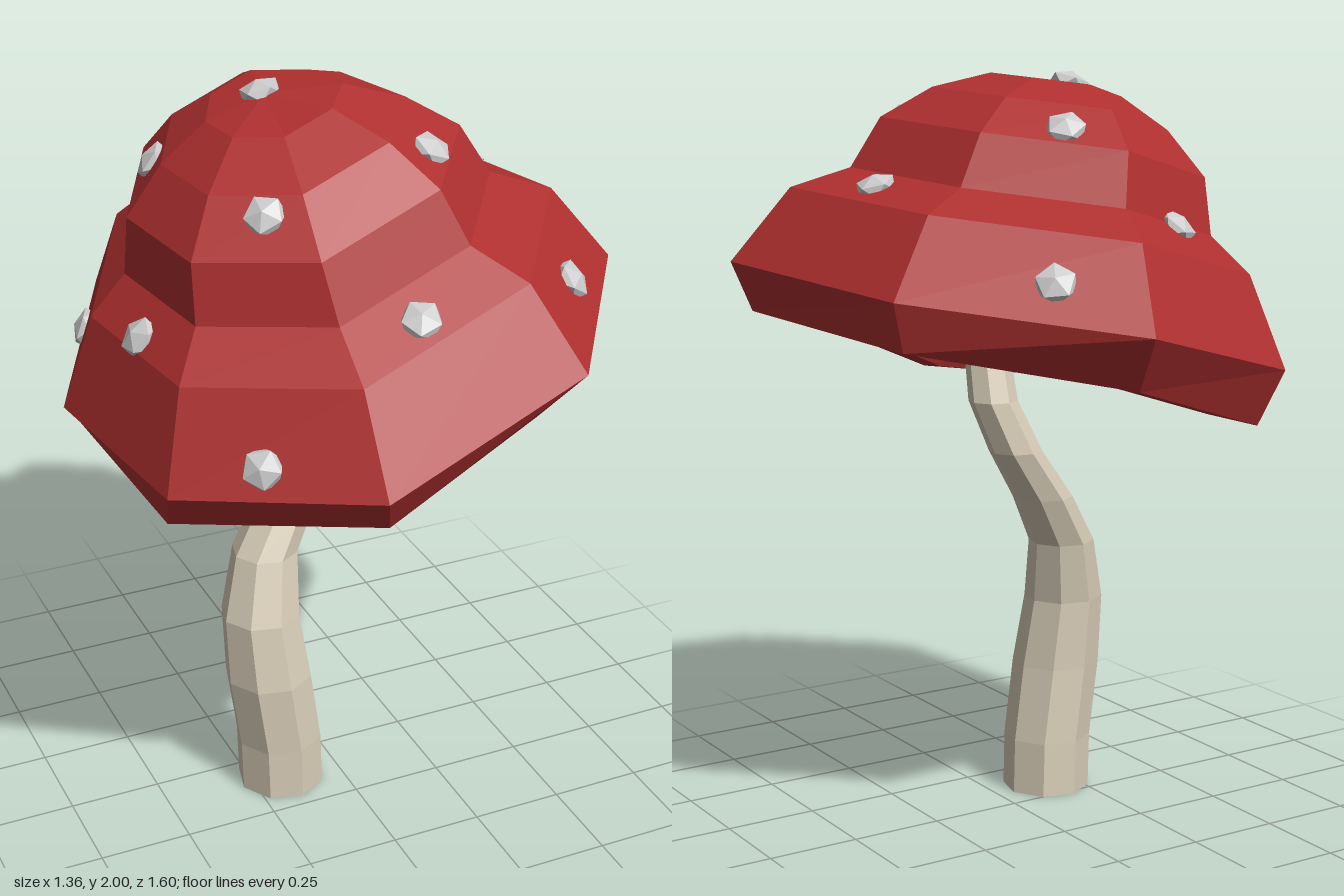
import * as THREE from 'three';

const SIDES = 8;

// Flat-shaded skin through rings of equal size, with optional end points
function loft(rings, { start, end } = {}) {
  const pos = [];
  const tri = (...pts) => pts.forEach((p) => pos.push(p.x, p.y, p.z));
  for (let i = 0; i < SIDES; i++) {
    const j = (i + 1) % SIDES;
    for (let k = 0; k + 1 < rings.length; k++) {
      const a = rings[k], b = rings[k + 1];
      tri(a[i], a[j], b[j]);
      tri(a[i], b[j], b[i]);
    }
    if (start) tri(rings[0][j], rings[0][i], start);
    const last = rings[rings.length - 1];
    if (end) tri(last[i], last[j], end);
  }
  const g = new THREE.BufferGeometry();
  g.setAttribute('position', new THREE.Float32BufferAttribute(pos, 3));
  g.computeVertexNormals();
  return g;
}

const vec = (p) => new THREE.Vector3(...p);
const material = (color) => new THREE.MeshStandardMaterial({ color, flatShading: true });

function named(name, geometry, mat) {
  const mesh = new THREE.Mesh(geometry, mat);
  mesh.name = name;
  return mesh;
}

// Scale a ring about one centre and move it to another
function scaled(ring, from, to, s) {
  return ring.map((p) => p.clone().sub(from).multiplyScalar(s).add(to));
}

export function createModel() {
  const model = new THREE.Group();
  model.name = 'mushroom';
  const red = material(0xb03030);
  const cream = material(0xd8cdb8);
  const grey = material(0xcccccc);

  // Widest edge of the tilted cap, and the lower edge of its lip
  const rim = [
    [0.12, 1.41, -0.8], [-0.4, 1.27, -0.64], [-0.68, 1.18, -0.09], [-0.61, 1.18, 0.48],
    [-0.18, 1.23, 0.8], [0.37, 1.43, 0.74], [0.68, 1.52, 0.3], [0.58, 1.48, -0.38],
  ].map(vec);
  const lip = [
    [0.1, 1.27, -0.71], [-0.37, 1.12, -0.57], [-0.61, 1.08, -0.18], [-0.59, 1.08, 0.42],
    [-0.14, 1.12, 0.72], [0.28, 1.3, 0.66], [0.63, 1.39, 0.28], [0.55, 1.355, -0.37],
  ].map(vec);
  const rimCentre = vec([0, 1.34, 0]);
  const lipCentre = vec([0, 1.22, 0]);
  const ceilingCentre = vec([-0.02, 1.34, 0]);
  const ceiling = scaled(lip, lipCentre, ceilingCentre, 0.74);

  // Cap steps above the rim: scale, centre x, centre y
  const steps = [
    [0.83, -0.035, 1.56], [0.655, -0.065, 1.64], [0.59, -0.1, 1.78],
    [0.43, -0.12, 1.885], [0.24, -0.135, 1.955],
  ].map(([s, x, y]) => scaled(rim, rimCentre, vec([x, y, 0]), s));
  const inner = scaled(lip, lipCentre, lipCentre, 0.8);
  const cap = named('cap',
    loft([ceiling, inner, lip, rim, ...steps], { end: vec([-0.15, 1.975, 0]) }), red);
  model.add(cap);
  model.add(named('capUnderside', loft([ceiling], { start: ceilingCentre }), cream));

  // Curved stem: centre x, y, z and radius
  const stemRings = [
    [-0.165, 0, 0.095, 0.12], [-0.17, 0.15, 0.097, 0.12], [-0.2, 0.36, 0.1, 0.12],
    [-0.215, 0.55, 0.085, 0.108], [-0.185, 0.72, 0.05, 0.09], [-0.1, 0.86, 0.015, 0.082],
    [0, 1.0, -0.005, 0.072], [0.06, 1.14, 0.012, 0.066], [0.06, 1.24, 0.035, 0.062],
    [0.03, 1.37, 0.06, 0.06],
  ].map(([x, y, z, r]) => Array.from({ length: SIDES }, (_, i) => {
    const a = ((i + 0.2) / SIDES) * Math.PI * 2;
    return vec([x + r * Math.cos(a), y, z - r * Math.sin(a)]);
  }));
  model.add(named('stem',
    loft(stemRings, { start: vec([-0.165, 0, 0.095]), end: vec([0.03, 1.37, 0.06]) }), cream));

  // Flattened five-sided spots seated on the cap surface
  const spotGeometry = new THREE.IcosahedronGeometry(0.056, 0);
  spotGeometry.rotateZ(-Math.atan(2 / (1 + Math.sqrt(5))));
  spotGeometry.scale(1, 0.55, 1);
  const spots = new THREE.Group();
  spots.name = 'spots';
  const ray = new THREE.Raycaster();
  const up = vec([0, 1, 0]);
  [
    [-0.15, -0.03], [0.06, -0.33], [-0.39, -0.16], [-0.18, -0.47], [-0.545, -0.3],
    [-0.55, 0.15], [-0.285, 0.32], [0.16, 0.3], [0.415, 0], [0.26, -0.59],
    [0.46, 0.49], [0, 0.585], [-0.41, 0.59],
  ].forEach(([x, z], i) => {
    ray.set(vec([x, 3, z]), vec([0, -1, 0]));
    const hit = ray.intersectObject(cap)[0];
    if (!hit) return;
    const spot = named('spot', spotGeometry, grey);
    spot.position.copy(hit.point);
    spot.quaternion.setFromUnitVectors(up, hit.face.normal);
    spot.rotateY(i * 1.3);
    spots.add(spot);
  });
  model.add(spots);
  return model;
}
